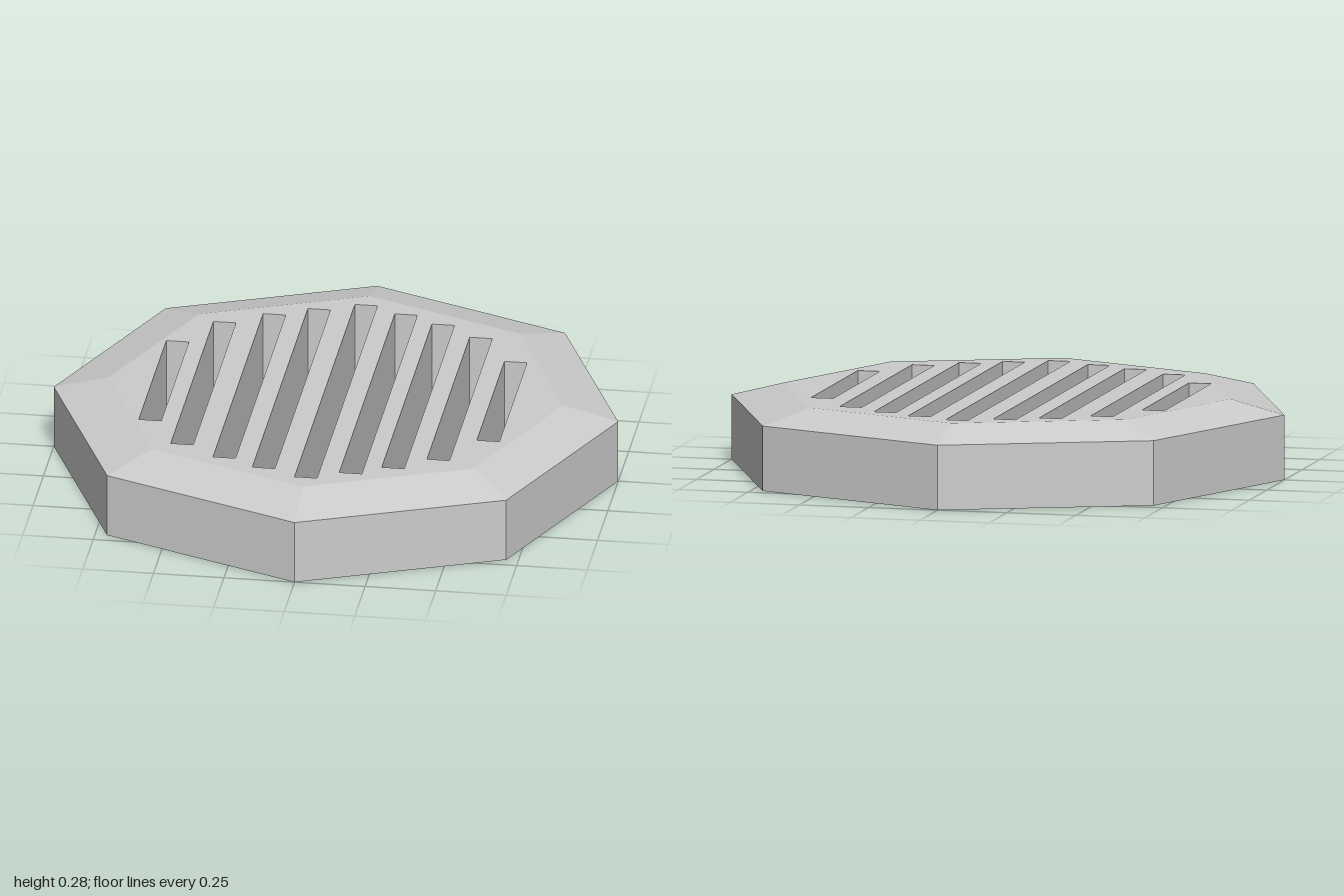
import * as THREE from 'three';
import { mergeGeometries } from 'three/addons/utils/BufferGeometryUtils.js';

const SIDES = 8, HEIGHT = 0.28, EDGE = 0.23, OUTER = 1, INNER = 0.805, SLOT_W = 0.08;

// Drain slots: [centre x, half length along z]
const SLOTS = [
  [-0.61, 0.333], [-0.47, 0.515], [-0.307, 0.605], [-0.158, 0.67], [0, 0.728],
  [0.15, 0.67], [0.291, 0.605], [0.438, 0.515], [0.588, 0.333],
];

// Octagon with a rectangular hole for every slot
function slottedOctagon(radius) {
  const corners = [];
  for (let i = 0; i < SIDES; i++) {
    const a = (i / SIDES) * Math.PI * 2;
    corners.push(new THREE.Vector2(Math.cos(a) * radius, Math.sin(a) * radius));
  }
  const shape = new THREE.Shape(corners);
  const w = SLOT_W / 2;
  for (const [x, l] of SLOTS) {
    shape.holes.push(new THREE.Path([
      new THREE.Vector2(x - w, -l), new THREE.Vector2(x - w, l),
      new THREE.Vector2(x + w, l), new THREE.Vector2(x + w, -l),
    ]));
  }
  return new THREE.ShapeGeometry(shape);
}

// Four inward-facing walls of one slot
function slotWalls([x, l]) {
  const walls = [];
  for (let k = 0; k < 4; k++) {
    const isEnd = k % 2 === 0;
    walls.push(new THREE.PlaneGeometry(isEnd ? SLOT_W : l * 2, HEIGHT)
      .translate(0, 0, isEnd ? -l : -SLOT_W / 2)
      .rotateY(k * Math.PI / 2)
      .translate(x, HEIGHT / 2, 0));
  }
  return mergeGeometries(walls);
}

export function createModel() {
  const group = new THREE.Group();
  group.name = 'drainCover';
  const material = new THREE.MeshStandardMaterial({ color: 0xcccccc, flatShading: true });
  const add = (name, geometry) => {
    const mesh = new THREE.Mesh(geometry, material);
    mesh.name = name;
    group.add(mesh);
  };

  // Upright sides and sloping bevel
  const profile = [[OUTER, 0], [OUTER, EDGE], [INNER, HEIGHT]].map(p => new THREE.Vector2(...p));
  add('rim', new THREE.LatheGeometry(profile, SIDES));

  // Slotted faces
  add('topFace', slottedOctagon(INNER).rotateX(-Math.PI / 2).translate(0, HEIGHT, 0));
  add('bottomFace', slottedOctagon(OUTER).rotateX(Math.PI / 2));

  // Slots running right through
  add('slotWalls', mergeGeometries(SLOTS.map(slotWalls)));

  return group;
}
